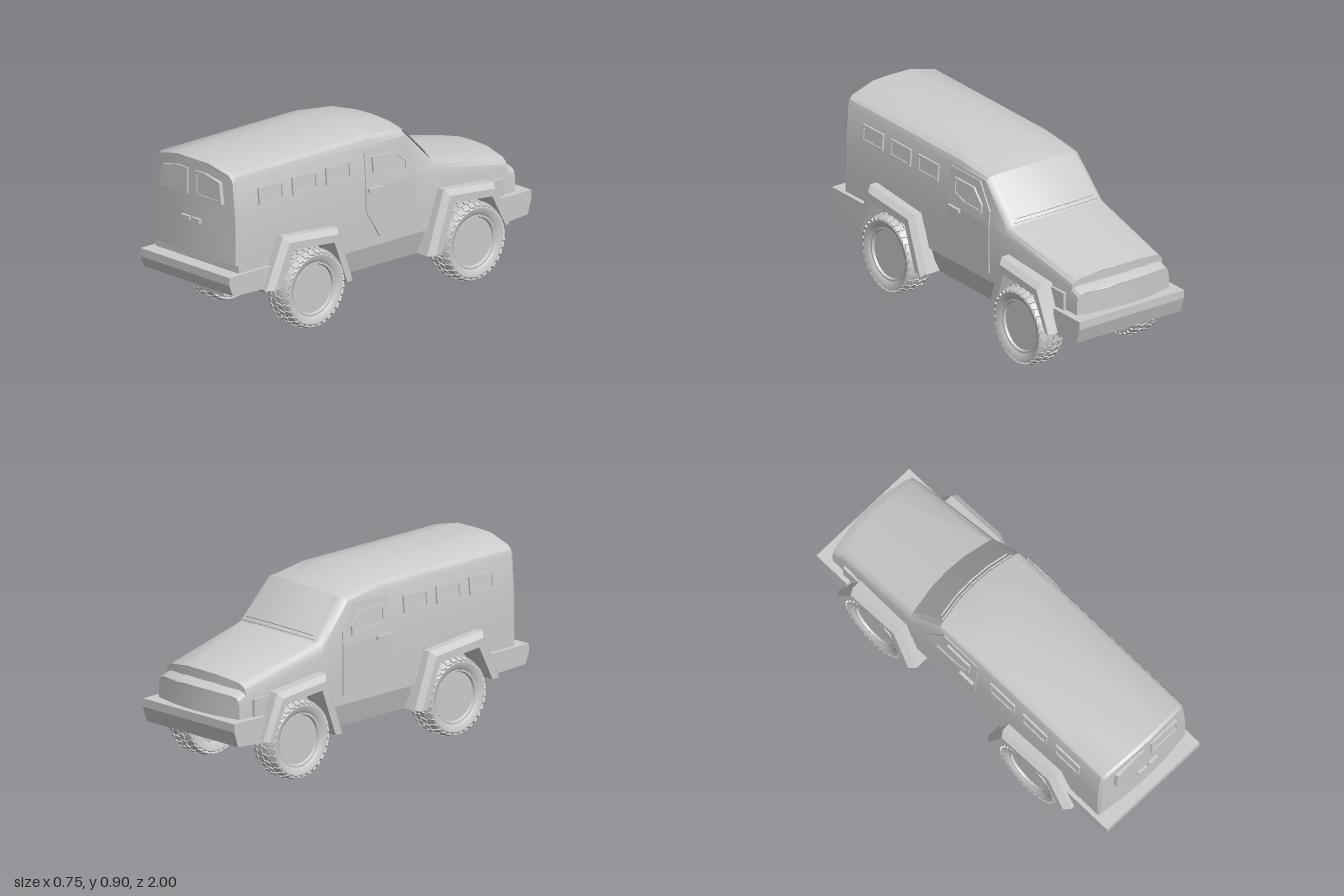
import * as THREE from 'three';
import { mergeGeometries, toCreasedNormals } from 'three/addons/utils/BufferGeometryUtils.js';

const mat = new THREE.MeshStandardMaterial({ color: 0xcccccc });
const thin = new THREE.MeshStandardMaterial({ color: 0xcccccc, side: THREE.DoubleSide });

function add(parent, name, geo, material = mat) {
  const m = new THREE.Mesh(geo, material);
  m.name = name;
  parent.add(m);
  return m;
}

// Surface through rows of points
function skin(rows, flip = false, crease = 0.45) {
  const n = rows[0].length, idx = [];
  for (let r = 0; r < rows.length - 1; r++) for (let i = 0; i < n - 1; i++) {
    const a = r * n + i, b = a + 1, d = a + n, c = d + 1;
    if (flip) idx.push(a, b, c, a, c, d); else idx.push(a, d, c, a, c, b);
  }
  const g = new THREE.BufferGeometry();
  g.setAttribute('position', new THREE.Float32BufferAttribute(rows.flat(2), 3));
  g.setIndex(idx);
  return toCreasedNormals(g, crease);
}

// Section: half outline (x, y) mirrored, with z bowed across the width
function section(z, k, half) {
  const at = ([x, y]) => [x, y, z + k * x * x];
  return [...half.map(at), ...half.slice(0, -1).reverse().map(([x, y]) => at([-x, y]))];
}
function endCap(z, k, half, flip) {
  return skin(half.map(([x, y]) => [1, 0.5, 0, -0.5, -1].map(f => [x * f, y, z + k * x * x * f * f])), flip);
}
function loft(parent, name, stations) {
  const a = stations[0], b = stations[stations.length - 1];
  add(parent, name, mergeGeometries([
    skin(stations.map(s => section(...s))), endCap(...a, false), endCap(...b, true)]), thin);
}

// Side profile in (z, y) extruded across x
const shapeOf = pts => new THREE.Shape(pts.map(p => new THREE.Vector2(...p)));
function prism(pts, x0, x1, hole) {
  const s = shapeOf(pts);
  if (hole) s.holes.push(shapeOf(hole));
  return new THREE.ExtrudeGeometry(s, { depth: x1 - x0, bevelEnabled: false })
    .rotateY(-Math.PI / 2).translate(x1, 0, 0);
}
function inset(pts, d) {
  const zs = pts.map(p => p[0]), ys = pts.map(p => p[1]);
  const z0 = Math.min(...zs), z1 = Math.max(...zs), y0 = Math.min(...ys), y1 = Math.max(...ys);
  const cz = (z0 + z1) / 2, cy = (y0 + y1) / 2;
  return pts.map(([z, y]) => [cz + (z - cz) * (1 - 2 * d / (z1 - z0)), cy + (y - cy) * (1 - 2 * d / (y1 - y0))]);
}

// Panel lying on the side wall, which leans in above the belt line
const wall = y => 0.298 - Math.max(0, y - 0.6) * 0.082;
function sidePanel(s, pts, t, hole) {
  const g = s > 0 ? prism(pts, -0.02, t, hole) : prism(pts, -t, 0.02, hole);
  const p = g.attributes.position;
  for (let i = 0; i < p.count; i++) p.setX(i, p.getX(i) + s * wall(p.getY(i)));
  g.computeVertexNormals();
  return g;
}

function buildWheel() {
  const g = new THREE.Group();
  const lathe = pts => toCreasedNormals(
    new THREE.LatheGeometry(pts.map(p => new THREE.Vector2(...p)), 48).rotateZ(-Math.PI / 2), 0.6);
  add(g, 'tire', lathe([[0.13, -0.055], [0.15, -0.067], [0.175, -0.071], [0.188, -0.06], [0.194, -0.03],
    [0.194, 0.03], [0.188, 0.06], [0.175, 0.071], [0.15, 0.067], [0.136, 0.056]]));
  add(g, 'rim', lathe([[0, -0.05], [0.13, -0.05], [0.145, 0.05], [0.136, 0.058], [0.127, 0.058], [0.122, 0.046], [0, 0.046]]));
  // Slanted tread blocks in four staggered rings
  const blocks = [], n = 32;
  for (const [x, r, lean, yaw, w] of [[-0.054, 0.188, 0.35, 0.3, 0.034], [-0.017, 0.195, 0, 0.3, 0.029],
    [0.017, 0.195, 0, -0.3, 0.029], [0.054, 0.188, -0.35, -0.3, 0.034]]) {
    for (let i = 0; i < n; i++) {
      blocks.push(new THREE.BoxGeometry(w, 0.01, 0.028).rotateY(yaw).rotateZ(lean)
        .translate(x, r, 0).rotateX((i + (x > 0 ? 0.5 : 0)) / n * Math.PI * 2));
    }
  }
  add(g, 'tread', mergeGeometries(blocks));
  return g;
}

export function createModel() {
  const model = new THREE.Group();
  model.name = 'armoredVan';
  const body = new THREE.Group();
  body.name = 'body';
  body.position.x = -0.008;
  model.add(body);

  // Cabin and hood shell, rear (+z) to hood (-z)
  const cabin = [[0.297, 0.4], [0.298, 0.6], [0.28, 0.82], [0.271, 0.845], [0.25, 0.862], [0.112, 0.895], [0, 0.896]];
  const brow = [[0.297, 0.4], [0.298, 0.6], [0.279, 0.81], [0.268, 0.824], [0.245, 0.833], [0.112, 0.845], [0, 0.848]];
  const cowl = [[0.297, 0.4], [0.297, 0.58], [0.29, 0.61], [0.28, 0.627], [0.262, 0.638], [0.112, 0.65], [0, 0.653]];
  const nose = [[0.28, 0.4], [0.276, 0.48], [0.27, 0.505], [0.255, 0.52], [0.23, 0.532], [0.1, 0.552], [0, 0.554]];
  const rear = cabin.map(([x, y]) => [x * 0.965, y > 0.8 ? y - 0.008 : y]);
  loft(body, 'shell', [[0.955, -0.28, rear], [0.94, -0.28, cabin], [0.03, 0, cabin],
    [-0.228, 0.45, brow], [-0.42, 0.45, cowl], [-0.915, 0.45, nose]]);

  // Grille block under the hood lip
  const grille = [[0.28, 0.28], [0.28, 0.42], [0.274, 0.452], [0.262, 0.466], [0.235, 0.475], [0.1, 0.483], [0, 0.484]];
  const grilleTop = grille.map(([x, y]) => [x, y > 0.43 ? y + 0.027 : y]);
  loft(body, 'grille', [[-0.8, 0.5, grilleTop], [-0.9, 0.5, grilleTop], [-0.967, 0.5, grille]]);

  // Windshield frame and pane, following the slope between brow and cowl
  const a = section(-0.228, 0.45, brow), b = section(-0.42, 0.45, cowl);
  const mix = (p, q, t) => p.map((v, i) => v + (q[i] - v) * t);
  for (const [name, edge, off, t0, t1] of [['windshieldFrame', 0.95, 0.004, 0.04, 0.97], ['windshield', 0.84, 0.009, 0.12, 0.9]]) {
    const row = t => {
      const r = [4, 5, 6, 7, 8].map(i => mix(a[i], b[i], t));
      r[0] = mix(r[1], r[0], edge);
      r[4] = mix(r[3], r[4], edge);
      return r;
    };
    const lift = (r, d) => r.map(([x, y, z]) => [x, y + d, z - d]);
    const top = row(t0), low = row(t1);
    add(body, name, skin([lift(top, -0.01), lift(top, off), lift(low, off), lift(low, -0.01)]), thin);
  }

  // Lower hull with wheel arches, floor, tail box, sill, bumpers
  add(body, 'lowerHull', prism([[0.92, 0.45], [0.92, 0.3], [0.7, 0.3], [0.61, 0.425], [0.35, 0.405], [0.29, 0.3],
    [-0.37, 0.3], [-0.45, 0.425], [-0.7, 0.405], [-0.77, 0.3], [-0.84, 0.3], [-0.84, 0.45]], -0.295, 0.295));
  add(body, 'floor', prism([[0.74, 0.42], [0.74, 0.26], [0.66, 0.18], [-0.72, 0.18], [-0.82, 0.25], [-0.82, 0.42]], -0.215, 0.215));
  add(body, 'tailBox', prism([[0.89, 0.3], [0.88, 0.2], [0.7, 0.18], [0.6, 0.18], [0.6, 0.3]], -0.148, 0.148));
  const sill = new THREE.BoxGeometry(0.59, 0.12, 0.54).translate(0, 0.242, -0.045);
  const sp = sill.attributes.position;
  for (let i = 0; i < sp.count; i++) if (sp.getY(i) < 0.24) sp.setX(i, sp.getX(i) * 0.88);
  sill.computeVertexNormals();
  add(body, 'sill', sill);
  add(body, 'rearBumper', prism([[1, 0.36], [1, 0.318], [0.98, 0.268], [0.97, 0.26], [0.76, 0.253], [0.72, 0.36]], -0.318, 0.318));
  add(body, 'frontBumper', prism([[-1, 0.36], [-1, 0.318], [-0.975, 0.24], [-0.79, 0.225], [-0.79, 0.36]], -0.318, 0.318));

  const arches = [
    [[[0.775, 0.25], [0.665, 0.5], [0.305, 0.466], [0.205, 0.185]], [[0.705, 0.25], [0.615, 0.43], [0.35, 0.408], [0.265, 0.185]]],
    [[[-0.29, 0.185], [-0.4, 0.5], [-0.73, 0.466], [-0.825, 0.24]], [[-0.36, 0.185], [-0.45, 0.43], [-0.695, 0.408], [-0.785, 0.24]]],
  ];
  const windows = [0.702, 0.478, 0.255].map(z => [[z - 0.083, 0.68], [z + 0.083, 0.68], [z + 0.083, 0.768], [z - 0.083, 0.768]]);
  const doorWindow = [[0.035, 0.757], [-0.12, 0.757], [-0.19, 0.69], [-0.19, 0.643], [-0.055, 0.647], [0.035, 0.678]];

  for (const s of [1, -1]) {
    const side = s > 0 ? 'left' : 'right';
    // Flared fenders with a chamfered outer edge
    arches.forEach(([outer, inner], k) => {
      const rows = outer.map((o, i) => {
        const q = inner[i], m = mix(o, q, 0.4);
        return [[0.26, o], [0.338, o], [0.367, m], [0.367, q], [0.26, q]].map(([x, p]) => [s * x, p[1], p[0]]);
      });
      const closeRow = r => r.map(() => mix(r[1], r[3], 0.5));
      add(body, side + (k ? 'FrontFender' : 'RearFender'),
        skin([closeRow(rows[0]), ...rows, closeRow(rows[3])], s < 0, 0.2), thin);
    });
    // Door in two leaves either side of the belt line, then windows
    add(body, side + 'DoorLower', sidePanel(s, [[0.08, 0.6], [0.08, 0.49], [-0.01, 0.345], [-0.245, 0.345], [-0.245, 0.6]], 0.005));
    add(body, side + 'DoorUpper', sidePanel(s, [[0.08, 0.6], [0.08, 0.8], [-0.155, 0.8], [-0.245, 0.67], [-0.245, 0.6]], 0.005));
    for (const [pts, t] of [...windows.map(w => [w, 0.01]), [doorWindow, 0.016]]) {
      add(body, side + 'WindowFrame', sidePanel(s, pts, t, inset(pts, 0.013)));
      add(body, side + 'WindowPane', sidePanel(s, inset(pts, 0.012), t - 0.006));
    }
    add(body, side + 'DoorHandle', new THREE.BoxGeometry(0.03, 0.018, 0.09).translate(s * 0.303, 0.595, 0.025));

    // Rear door windows and handles
    const rw = [[0.026, 0.7], [0.217, 0.7], [0.203, 0.811], [0.1, 0.834], [0.026, 0.834]].map(([x, y]) => [s * x, y]);
    const frame = shapeOf(rw);
    frame.holes.push(shapeOf(inset(rw, 0.016)));
    const plate = (shape, z) => new THREE.ExtrudeGeometry(shape, { depth: z - 0.92, bevelEnabled: false }).translate(0, 0, 0.92);
    add(body, side + 'RearWindowFrame', plate(frame, 0.963));
    add(body, side + 'RearWindowPane', plate(shapeOf(inset(rw, 0.015)), 0.957));
    add(body, side + 'RearHandle', new THREE.BoxGeometry(0.057, 0.022, 0.03).translate(s * 0.036, 0.58, 0.953));

    for (const [name, z] of [['RearWheel', 0.485], ['FrontWheel', -0.578]]) {
      const w = buildWheel();
      w.name = side + name;
      w.position.set(s * 0.296 + 0.006, 0.2, z);
      if (s < 0) w.rotation.y = Math.PI;
      model.add(w);
    }
  }
  return model;
}
